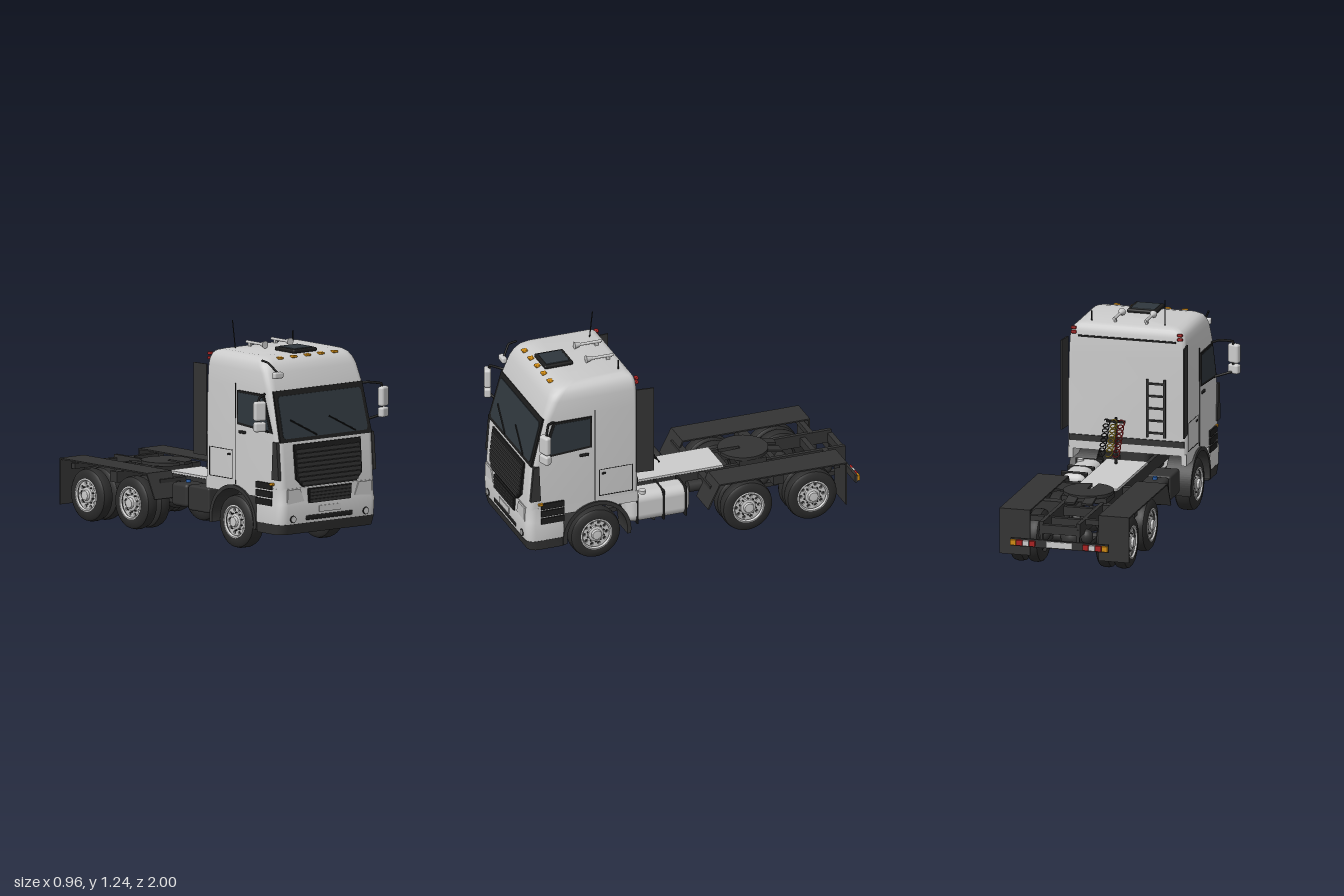
import * as THREE from 'three';
import { toCreasedNormals } from 'three/addons/utils/BufferGeometryUtils.js';
import { RoundedBoxGeometry } from 'three/addons/geometries/RoundedBoxGeometry.js';

const mat = (color, side = THREE.FrontSide) => new THREE.MeshStandardMaterial({ color, side });
const BODY = mat(0xcccccc), DARK = mat(0x333333), BLACK = mat(0x1c1c1c), GLASS = mat(0x2f373d);
const THIN = mat(0x2b2b2b, THREE.DoubleSide), TYRE = mat(0x2c2c2c);
const AMBER = mat(0xd08a10), RED = mat(0xa82020), BLUE = mat(0x2a5fa8), WHITE = mat(0xe8e8e8);
const V = (x, y, z) => new THREE.Vector3(x, y, z);

// z of the cab front at a given height
const PROFILE = [[0.12, 0.985], [0.37, 0.99], [0.62, 0.965], [0.905, 0.89], [1.0, 0.855], [1.1, 0.8]];
function frontZ(y) {
  for (let i = 1; i < PROFILE.length; i++) {
    const [y0, z0] = PROFILE[i - 1], [y1, z1] = PROFILE[i];
    if (y <= y1) return z0 + (z1 - z0) * (y - y0) / (y1 - y0);
  }
  return 0.8;
}

// closed skin through rounded rectangles given as [y, halfWidth, zFront, zRear, frontRadius, rearRadius]
function loft(rows) {
  const pos = [], idx = [], S = 6, N = 4 * (S + 1);
  for (const [y, w, zf, zr, rf, rr] of rows) {
    [[w, zf, rf, 0], [-w, zf, rf, 1], [-w, zr, rr, 2], [w, zr, rr, 3]].forEach(([x, z, r, q]) => {
      const cx = x - Math.sign(x) * r, cz = q < 2 ? z - r : z + r;
      for (let i = 0; i <= S; i++) {
        const a = (q + i / S) * Math.PI / 2;
        pos.push(cx + r * Math.cos(a), y, cz + r * Math.sin(a));
      }
    });
  }
  for (let i = 0; i < rows.length - 1; i++) for (let j = 0; j < N; j++) {
    const a = i * N + j, b = i * N + (j + 1) % N;
    idx.push(a, a + N, b, b, a + N, b + N);
  }
  const top = (rows.length - 1) * N;
  for (let j = 1; j < N - 1; j++) idx.push(0, j, j + 1, top, top + j + 1, top + j);
  const g = new THREE.BufferGeometry();
  g.setAttribute('position', new THREE.Float32BufferAttribute(pos, 3));
  g.setIndex(idx);
  return toCreasedNormals(g, 0.7);
}

export function createModel() {
  const root = new THREE.Group();
  const add = (name, geo, m, x = 0, y = 0, z = 0, parent = root) => {
    const o = new THREE.Mesh(geo, m);
    o.name = name; o.position.set(x, y, z); parent.add(o);
    return o;
  };
  const box = (name, m, w, h, d, x, y, z) => add(name, new THREE.BoxGeometry(w, h, d), m, x, y, z);
  const rbox = (name, m, w, h, d, x, y, z, r = 0.01) => add(name, new RoundedBoxGeometry(w, h, d, 3, r), m, x, y, z);
  const cyl = (name, m, r, len, axis, x, y, z, r2 = r) => {
    const o = add(name, new THREE.CylinderGeometry(r, r2, len, 24), m, x, y, z);
    if (axis === 'x') o.rotation.z = Math.PI / 2;
    if (axis === 'z') o.rotation.x = Math.PI / 2;
    return o;
  };
  const rod = (name, m, r, pts) => add(name, new THREE.TubeGeometry(
    new THREE.CatmullRomCurve3(pts.map(p => V(...p)), false, 'catmullrom', 0.1), pts.length * 8, r, 8), m);
  const shape = pts => new THREE.Shape(pts.map(p => new THREE.Vector2(...p)));
  // plate cut in the z-y plane; outer face at x = side * x
  const sidePlate = (name, m, pts, side, x, d) => {
    const g = new THREE.ExtrudeGeometry(shape(pts), { depth: d, bevelEnabled: false });
    const o = add(name, g, m, side > 0 ? x : -x + d);
    o.rotation.y = -Math.PI / 2;
  };
  // plate cut in the x-y plane and laid on the sloping cab front
  const frontPanel = (name, m, pts, out, t = 0.02) => {
    const g = new THREE.ExtrudeGeometry(shape(pts), { depth: t, bevelEnabled: false });
    const p = g.attributes.position;
    for (let i = 0; i < p.count; i++) p.setZ(i, p.getZ(i) - t + out + frontZ(p.getY(i)));
    g.computeVertexNormals();
    add(name, g, m);
  };
  const trap = (wb, yb, wt, yt) => [[-wb, yb], [wb, yb], [wt, yt], [-wt, yt]];

  // cab shell, bumper and lower skirt
  add('cab', loft([
    [0.365, 0.34, 0.985, 0.34, 0.04, 0.02], [0.62, 0.342, 0.965, 0.34, 0.04, 0.02],
    [0.905, 0.337, 0.89, 0.34, 0.04, 0.02], [1.0, 0.333, 0.855, 0.34, 0.05, 0.025],
    [1.035, 0.327, 0.838, 0.342, 0.06, 0.03], [1.06, 0.315, 0.815, 0.348, 0.06, 0.03],
    [1.075, 0.297, 0.785, 0.358, 0.06, 0.03], [1.083, 0.265, 0.74, 0.385, 0.06, 0.03]]), BODY);
  add('bumper', loft([
    [0.17, 0.345, 0.99, 0.775, 0.05, 0.01], [0.27, 0.347, 0.996, 0.775, 0.05, 0.01],
    [0.285, 0.343, 0.992, 0.775, 0.05, 0.01], [0.37, 0.341, 0.988, 0.775, 0.05, 0.01]]), BODY);
  add('bumperSkirt', loft([[0.115, 0.34, 0.978, 0.775, 0.05, 0.01], [0.172, 0.346, 0.992, 0.775, 0.05, 0.01]]), DARK);

  // windscreen, wipers, grilles and front details
  frontPanel('windscreenFrame', BLACK, trap(0.327, 0.625, 0.318, 0.905), 0.003);
  frontPanel('windscreen', GLASS, [[-0.29, 0.645], [0.29, 0.645], [0.302, 0.66], [0.296, 0.86], [0.285, 0.875],
    [-0.285, 0.875], [-0.296, 0.86], [-0.302, 0.66]], 0.006);
  for (const x of [-0.065, 0.21]) rod('wiper', BLACK, 0.004,
    [[x, 0.65, frontZ(0.65) + 0.012], [x - 0.175, 0.745, frontZ(0.745) + 0.012]]);
  frontPanel('grille', BLACK, [[-0.19, 0.375], [0.19, 0.375], [0.235, 0.42], [0.24, 0.61], [-0.24, 0.61], [-0.235, 0.42]], 0.008);
  for (let i = 0; i < 8; i++) {
    const y = 0.395 + i * 0.0255, w = Math.min(0.228, 0.2 + i * 0.02);
    box('grilleSlat', DARK, w * 2, 0.018, 0.012, 0, y, frontZ(y) + 0.009);
  }
  frontPanel('lowerGrille', BLACK, trap(0.15, 0.28, 0.155, 0.362), 0.01);
  for (let i = 0; i < 4; i++) box('lowerGrilleSlat', DARK, 0.29, 0.012, 0.008, 0, 0.292 + i * 0.019, 1.0);
  box('frontPlate', WHITE, 0.15, 0.035, 0.008, 0, 0.243, 0.996);
  rbox('bumperSlot', BLACK, 0.34, 0.03, 0.02, 0, 0.2, 0.986);

  for (const s of [1, -1]) {
    cyl('fogLightRim', BLACK, 0.021, 0.02, 'z', s * 0.26, 0.2, 0.986);
    cyl('fogLight', WHITE, 0.016, 0.024, 'z', s * 0.26, 0.2, 0.986);
    frontPanel('headlight', BODY, [[0.18, 0.295], [0.3, 0.285], [0.3, 0.365], [0.21, 0.365]].map(p => [p[0] * s, p[1]]), 0.006);
    // doors, windows and panel seams
    sidePlate('sideWindow', BLACK, [[0.612, 0.695], [0.915, 0.675], [0.84, 0.885], [0.612, 0.885]], s, 0.345, 0.015);
    sidePlate('sideGlass', GLASS, [[0.625, 0.708], [0.89, 0.69], [0.83, 0.873], [0.625, 0.873]], s, 0.347, 0.015);
    box('doorSeam', BLACK, 0.004, 0.56, 0.004, s * 0.341, 0.64, 0.594);
    rbox('doorHandle', BLACK, 0.014, 0.016, 0.055, s * 0.344, 0.655, 0.657, 0.005);
    for (const y of [0.385, 0.545]) box('lockerSeam', BLACK, 0.004, 0.004, 0.197, s * 0.34, y, 0.469);
    for (const z of [0.372, 0.567]) box('lockerSeam', BLACK, 0.004, 0.16, 0.004, s * 0.34, 0.465, z);
    rbox('lockerLatch', BLACK, 0.012, 0.012, 0.024, s * 0.341, 0.52, 0.54, 0.004);
    sidePlate('cornerDeflector', DARK, [[0.915, 0.42], [0.975, 0.42], [0.957, 0.63], [0.925, 0.63]], s, 0.35, 0.02);
    for (let i = 0; i < 3; i++) box('step', BLACK, 0.02, 0.036, 0.135, s * 0.34, 0.29 + i * 0.045, 0.845);
    rbox('sideIndicator', AMBER, 0.02, 0.014, 0.026, s * 0.344, 0.394, 0.915, 0.004);
    const panel = box('airDeflector', DARK, 0.008, 0.51, 0.1, s * 0.347, 0.745, 0.3);
    panel.rotation.y = -s * 0.1;
    for (const y of [1.03, 1.055]) rbox('rearMarker', RED, 0.03, 0.016, 0.02, s * 0.305, y, 0.336, 0.005);

    // lower side skin and front wheel arch
    const arc = [];
    for (let i = 0; i <= 12; i++) {
      const a = Math.PI * (0.695 - 0.39 * i / 12);
      arc.push([0.583 + 0.19 * Math.cos(a), 0.155 + 0.19 * Math.sin(a)]);
    }
    sidePlate('cabSill', BODY, [[0.34, 0.31], ...arc, [0.78, 0.31], [0.78, 0.375], [0.34, 0.375]], s, 0.34, 0.03);
    const ring = new THREE.Shape().absarc(0, 0, 0.2, -0.15, Math.PI + 0.15, false);
    ring.absarc(0, 0, 0.178, Math.PI + 0.15, -0.15, true);
    const arch = add('wheelArch', new THREE.ExtrudeGeometry(ring, { depth: 0.15, bevelEnabled: false, curveSegments: 28 }),
      DARK, s > 0 ? 0.352 : -0.202, 0.155, 0.583);
    arch.rotation.y = -Math.PI / 2;

    // mirrors on bent arms
    const turn = (o) => { o.rotation.y = s * 0.35; };
    turn(rbox('mirror', BODY, 0.07, 0.11, 0.04, s * 0.443, 0.812, 0.925, 0.014));
    turn(rbox('wideMirror', BODY, 0.068, 0.055, 0.04, s * 0.443, 0.724, 0.925, 0.012));
    rod('mirrorArm', BLACK, 0.007, [[s * 0.33, 0.885, 0.83], [s * 0.37, 0.892, 0.88], [s * 0.44, 0.88, 0.915], [s * 0.44, 0.72, 0.915]]);
    rod('mirrorArm', BLACK, 0.007, [[s * 0.335, 0.68, 0.87], [s * 0.37, 0.69, 0.89], [s * 0.44, 0.71, 0.915]]);

    // horns
    cyl('horn', BODY, 0.008, 0.14, 'z', s * 0.09, 1.105, 0.46);
    cyl('hornBell', BODY, 0.021, 0.04, 'z', s * 0.09, 1.105, 0.53, 0.008);
    box('hornFoot', BODY, 0.012, 0.025, 0.02, s * 0.09, 1.09, 0.42);

    // frame rails, suspension, rear fenders and mudflaps
    box('frameRail', DARK, 0.022, 0.075, 1.85, s * 0.105, 0.267, -0.045);
    for (const z of [-0.2, -0.48, -0.57, -0.855]) {
      const bag = add('airSpring', new THREE.SphereGeometry(0.035, 16, 12), DARK, s * 0.122, 0.205, z);
      bag.scale.y = 1.2;
    }
    box('trailingArm', DARK, 0.03, 0.025, 0.8, s * 0.125, 0.16, -0.52);
    box('leafSpring', DARK, 0.04, 0.025, 0.5, s * 0.13, 0.18, 0.583);
    box('fenderBracket', DARK, 0.2, 0.06, 0.06, s * 0.2, 0.27, -0.505);
    box('fenderBracket', DARK, 0.2, 0.04, 0.04, s * 0.2, 0.28, -0.12);
    box('fenderBracket', DARK, 0.2, 0.03, 0.03, s * 0.2, 0.29, -0.85);
    sidePlate('rearFender', DARK, [[-0.06, 0.2], [-0.13, 0.338], [-0.882, 0.338], [-0.882, 0.08], [-0.874, 0.08],
      [-0.874, 0.33], [-0.135, 0.33], [-0.068, 0.196]], s, 0.372, 0.176);
    [AMBER, RED, WHITE, RED].forEach((m, i) => box('tailLight', m, 0.033, 0.03, 0.02, s * (0.262 - i * 0.036), 0.178, -0.985));
    box('rearHanger', DARK, 0.015, 0.11, 0.015, s * 0.105, 0.215, -0.965);
  }

  // roof fittings and antennas
  rbox('roofHatch', BLACK, 0.17, 0.022, 0.17, 0, 1.092, 0.705, 0.009);
  rbox('hatchGlass', GLASS, 0.135, 0.01, 0.135, 0, 1.102, 0.705, 0.004);
  for (let i = -2; i <= 2; i++) rbox('roofMarker', AMBER, 0.034, 0.013, 0.03, i * 0.0975, 1.07, 0.802, 0.005);
  rod('antenna', BLACK, 0.003, [[-0.195, 1.07, 0.42], [-0.2, 1.235, 0.4]]);
  rod('antenna', BLACK, 0.004, [[0.222, 1.07, 0.41], [0.222, 1.14, 0.41]]);
  rbox('kerbMirror', BODY, 0.065, 0.036, 0.03, -0.288, 0.993, 0.895);
  rod('kerbMirrorArm', BLACK, 0.006, [[-0.322, 1.068, 0.8], [-0.318, 1.06, 0.85], [-0.285, 1.005, 0.89]]);

  // cab back: trim strips, ladder and coiled air lines
  box('backTrim', BLACK, 0.56, 0.01, 0.008, 0, 1.01, 0.338);
  box('backBand', DARK, 0.66, 0.035, 0.008, 0, 0.43, 0.338);
  for (const x of [-0.12, -0.22]) box('ladderRail', DARK, 0.012, 0.33, 0.014, x, 0.63, 0.325);
  for (let i = 0; i < 5; i++) box('ladderRung', DARK, 0.1, 0.01, 0.012, -0.17, 0.49 + i * 0.07, 0.325);
  cyl('hosePost', BLACK, 0.008, 0.27, 'y', 0.04, 0.445, 0.262);
  box('hoseBar', BLACK, 0.11, 0.014, 0.014, 0.04, 0.56, 0.255);
  [RED, mat(0xc9a820), BLACK].forEach((m, k) => {
    const pts = [];
    for (let i = 0; i <= 84; i++) {
      const t = i / 84, a = t * Math.PI * 14;
      pts.push(V(k * 0.042 + 0.017 * Math.cos(a), 0.565 - 0.165 * t + 0.012 * Math.sin(a), 0.235 - 0.105 * t + 0.017 * Math.sin(a)));
    }
    add('airHose', new THREE.TubeGeometry(new THREE.CatmullRomCurve3(pts), 168, 0.0035, 6), m);
  });

  // deck, cross members and coupling plate
  box('deck', BODY, 0.235, 0.012, 0.6, 0, 0.312, 0.05);
  for (const z of [-0.28, -0.56, -0.8, -0.96]) box('crossMember', DARK, 0.2, 0.05, 0.03, 0, 0.262, z);
  box('couplingBase', DARK, 0.26, 0.03, 0.16, 0, 0.313, -0.42);
  const slot = new THREE.Shape().absarc(0, 0, 0.14, -Math.PI / 2 + 0.12, Math.PI * 1.5 - 0.12, false);
  slot.lineTo(-0.012, -0.02); slot.lineTo(0.012, -0.02);
  const plate = add('couplingPlate', new THREE.ExtrudeGeometry(slot, { depth: 0.018, bevelEnabled: false, curveSegments: 40 }),
    DARK, 0, 0.33, -0.41);
  plate.rotation.x = -Math.PI / 2;
  plate.rotation.z = Math.PI;
  plate.rotation.z = 0;
  plate.scale.y = 1;
  plate.rotation.x = -Math.PI / 2;
  for (const s of [1, -1]) {
    const ramp = box('couplingRamp', DARK, 0.06, 0.012, 0.1, s * 0.05, 0.328, -0.565);
    ramp.rotation.x = -0.2;
  }

  // rear bar and plate
  box('rearBar', DARK, 0.56, 0.045, 0.014, 0, 0.178, -0.972);
  box('rearPlate', WHITE, 0.15, 0.035, 0.006, 0, 0.178, -0.984);

  // fuel tank, equipment boxes, air tank and exhaust
  rbox('fuelTank', BODY, 0.15, 0.175, 0.375, 0.212, 0.228, 0.19, 0.05);
  for (const z of [0.32, 0.165, 0.035]) rbox('tankStrap', BLACK, 0.156, 0.181, 0.012, 0.212, 0.228, z, 0.005);
  cyl('fuelCap', BODY, 0.02, 0.02, 'y', 0.25, 0.315, 0.28);
  rbox('additiveTank', DARK, 0.135, 0.13, 0.135, -0.24, 0.235, 0.068, 0.02);
  cyl('additiveCap', BLUE, 0.014, 0.02, 'y', -0.24, 0.305, 0.068);
  rbox('batteryBox', DARK, 0.135, 0.14, 0.18, -0.24, 0.23, 0.235, 0.012);
  cyl('airTank', DARK, 0.032, 0.16, 'z', -0.172, 0.25, -0.06);
  cyl('airTank', DARK, 0.032, 0.16, 'z', 0.165, 0.25, -0.1);
  rod('exhaust', DARK, 0.018, [[0.08, 0.17, 0.4], [0.09, 0.14, 0.28], [0.14, 0.12, 0.22], [0.2, 0.11, 0.175]]);

  // engine, gearbox and drive line
  rbox('engine', DARK, 0.17, 0.2, 0.36, 0, 0.27, 0.65, 0.03);
  cyl('gearbox', DARK, 0.055, 0.3, 'z', 0, 0.23, 0.32, 0.075);
  cyl('driveShaft', DARK, 0.018, 0.95, 'z', 0, 0.18, -0.25);
  cyl('frontAxle', DARK, 0.025, 0.5, 'x', 0, 0.15, 0.583);

  // tyre and rim profiles revolved about the axle
  const lathe = pts => {
    const g = toCreasedNormals(new THREE.LatheGeometry(pts.map(p => new THREE.Vector2(...p)), 48), 0.6);
    return g.rotateZ(-Math.PI / 2);
  };
  const tyreGeo = w => lathe([[0.088, -w], [0.1, -w - 0.003], [0.132, -w + 0.003], [0.143, -w + 0.012], [0.148, -w + 0.03],
    [0.148, w - 0.03], [0.143, w - 0.012], [0.132, w - 0.003], [0.1, w + 0.003], [0.088, w], [0.084, 0], [0.088, -w]]);
  const disc = new THREE.Shape().absarc(0, 0, 0.085, 0, Math.PI * 2, false);
  for (let i = 0; i < 10; i++) {
    const a = i * Math.PI / 5;
    disc.holes.push(new THREE.Path().absarc(0.066 * Math.cos(a), 0.066 * Math.sin(a), 0.009, 0, Math.PI * 2, true));
  }
  const discGeo = new THREE.ExtrudeGeometry(disc, { depth: 0.01, bevelEnabled: false, curveSegments: 20 }).rotateY(Math.PI / 2);
  const rimGeo = lathe([[0.078, 0], [0.092, 0.002], [0.092, 0.008], [0.085, 0.01], [0.08, 0.004], [0.078, 0]]);
  const hubGeo = lathe([[0.046, 0], [0.044, 0.012], [0.03, 0.016], [0.026, 0.03], [0.0001, 0.032]]);
  function wheel(s, z, x, w) {
    const g = new THREE.Group();
    g.name = 'wheel'; g.position.set(s * x, 0.148, z);
    if (s < 0) g.rotation.y = Math.PI;
    add('tyre', tyreGeo(w), TYRE, 0, 0, 0, g);
    add('rimDisc', discGeo, BODY, w - 0.026, 0, 0, g);
    add('rimEdge', rimGeo, BODY, w - 0.006, 0, 0, g);
    add('hub', hubGeo, BODY, w - 0.017, 0, 0, g);
    for (let i = 0; i < 10; i++) {
      const a = (i + 0.5) * Math.PI / 5;
      add('wheelNut', new THREE.CylinderGeometry(0.004, 0.004, 0.012, 6).rotateZ(Math.PI / 2), DARK, w - 0.011, 0.05 * Math.sin(a), 0.05 * Math.cos(a), g);
    }
    cyl('brakeDrum', DARK, 0.08, 0.03, 'x', s * (x - 0.01), 0.148, z);
    root.add(g);
  }
  for (const s of [1, -1]) {
    wheel(s, 0.583, 0.287, 0.05);
    for (const z of [-0.315, -0.695]) { wheel(s, z, 0.295, 0.041); wheel(s, z, 0.202, 0.041); }
  }
  for (const z of [-0.315, -0.695]) {
    cyl('rearAxle', DARK, 0.03, 0.5, 'x', 0, 0.155, z);
    add('differential', new THREE.SphereGeometry(0.07, 24, 16), DARK, 0, 0.16, z - 0.01).scale.z = 1.2;
  }
  return root;
}
